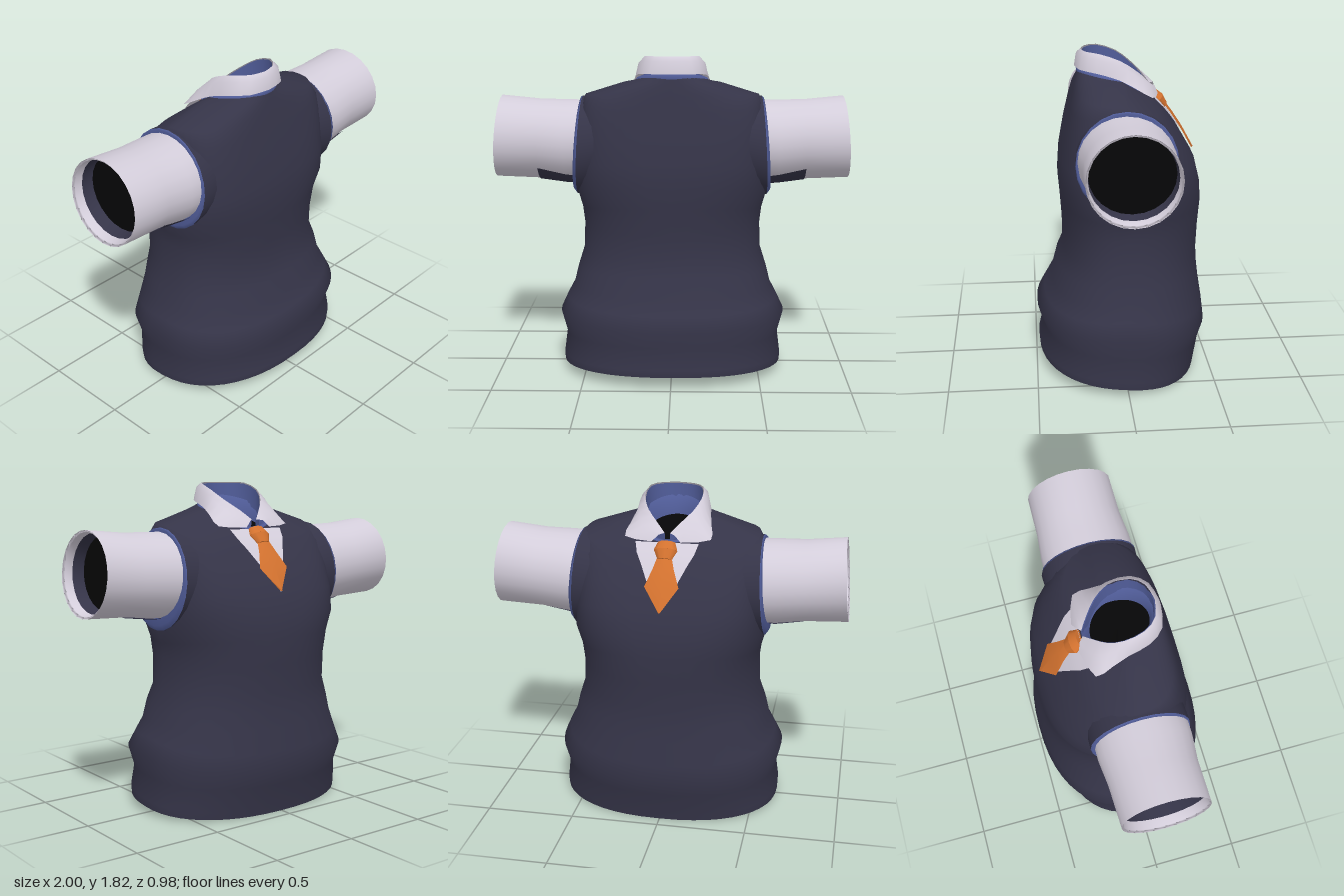
import * as THREE from 'three';

const mat = (name, color) => {
  const m = new THREE.MeshStandardMaterial({ color, side: THREE.DoubleSide });
  m.name = name;
  return m;
};

// Skin a list of equal-length rows of points
function skin(rows, closed) {
  const n = rows[0].length, pos = [], idx = [];
  rows.forEach(r => r.forEach(p => pos.push(p[0], p[1], p[2])));
  for (let i = 0; i < rows.length - 1; i++) {
    for (let j = 0; j < (closed ? n : n - 1); j++) {
      const k = (j + 1) % n, a = i * n + j, b = i * n + k;
      idx.push(a, a + n, b, b, a + n, b + n);
    }
  }
  const g = new THREE.BufferGeometry();
  g.setAttribute('position', new THREE.Float32BufferAttribute(pos, 3));
  g.setIndex(idx);
  g.computeVertexNormals();
  return g;
}

const spow = (v, e) => Math.sign(v) * Math.pow(Math.abs(v), e);

// Horizontal body ring: half width, side height, +z reach and height, -z reach and height, squareness
function bodyRing([w, ys, zb, yb, zf, yf, n = 2.3], seg = 48) {
  return Array.from({ length: seg }, (_, i) => {
    const a = i / seg * Math.PI * 2;
    const c = spow(Math.cos(a), 2 / n), s = spow(Math.sin(a), 2 / n);
    const t = Math.abs(s);
    return [w * c, ys + ((s > 0 ? yb : yf) - ys) * t, t * (s > 0 ? zb : zf)];
  });
}

// Upright sleeve ring: x at top and bottom, y at top and bottom, z reach both ways
function armRing(side, [xt, xb, yt, yb, zb, zf], a0 = 0, a1 = Math.PI * 2, seg = 24, grow = 0) {
  const closed = a1 - a0 > 6;
  return Array.from({ length: closed ? seg : seg + 1 }, (_, i) => {
    const a = a0 + (a1 - a0) * i / seg, u = (1 + Math.sin(a)) / 2;
    return [side * (xb + (xt - xb) * u),
      (yt + yb) / 2 + ((yt - yb) / 2 + grow) * Math.sin(a),
      (zb + zf) / 2 + ((zb - zf) / 2 + grow) * Math.cos(a)];
  });
}

// Flat fan closing a ring
function cap(ring) {
  const c = [0, 1, 2].map(k => ring.reduce((s, p) => s + p[k], 0) / ring.length);
  return skin([ring, ring.map(() => c)], true);
}

// Smooth half edge from the middle outwards, mirrored across x
function mirroredEdge(points) {
  const curve = new THREE.CatmullRomCurve3(points.map(p => new THREE.Vector3(...p)));
  const half = Array.from({ length: 13 }, (_, i) => curve.getPoint(i / 12).toArray());
  return [...half.slice(1).reverse().map(([x, y, z]) => [-x, y, z]), ...half];
}

export function createModel() {
  const group = new THREE.Group();
  const navy = mat('navyKnit', 0x353448);
  const white = mat('shirtWhite', 0xd3cdda);
  const blue = mat('blueTrim', 0x505c98);
  const orange = mat('tieOrange', 0xd3722f);
  const black = mat('darkInside', 0x060607);
  const add = (name, geo, m) => {
    const mesh = new THREE.Mesh(geo, m);
    mesh.name = name;
    group.add(mesh);
    return mesh;
  };

  // Knitted vest from hem to neckline
  const vest = [
    [.635, .045, .48, .08, -.43, .008],
    [.637, .09, .483, .12, -.437, .05],
    [.62, .22, .455, .24, -.462, .18],
    [.652, .35, .49, .34, -.49, .27],
    [.61, .44, .445, .42, -.478, .37],
    [.572, .51, .402, .5, -.457, .5],
    [.55, .6, .37, .62, -.445, .6],
    [.512, .72, .335, .7, -.44, .7],
    [.505, .88, .335, .85, -.445, .85, 2.4],
    [.515, .96, .345, 1.0, -.455, 1.0, 2.5],
    [.54, 1.05, .355, 1.12, -.44, 1.12, 2.9],
    [.53, 1.2, .345, 1.25, -.405, 1.25, 3.3],
    [.518, 1.4, .315, 1.4, -.33, 1.38, 3.6],
    [.512, 1.565, .285, 1.53, -.26, 1.48, 3.4],
    [.49, 1.607, .265, 1.62, -.22, 1.53, 2.7],
    [.27, 1.675, .245, 1.69, -.19, 1.56, 2.2],
    [.2, 1.685, .235, 1.725, -.17, 1.575, 2]
  ];
  add('vest', skin(vest.map(r => bodyRing(r)), true), navy);
  add('hemOpening', cap(bodyRing(vest[0])), black);

  // Neck trim and dark neck opening
  const neck = [
    [.212, 1.675, .24, 1.71, -.172, 1.565, 2],
    [.2, 1.695, .243, 1.738, -.165, 1.585, 2],
    [.165, 1.7, .205, 1.76, -.15, 1.59, 2],
    [.145, 1.6, .19, 1.65, -.125, 1.53, 2]
  ];
  add('neckTrim', skin(neck.map(r => bodyRing(r)), true), blue);
  add('neckOpening', cap(bodyRing(neck[3])), black);

  // Folded shirt collar
  const top = mirroredEdge([[0, 1.83, .215], [.09, 1.83, .192], [.15, 1.827, .12],
    [.16, 1.79, .01], [.125, 1.735, -.07], [.065, 1.68, -.13], [.015, 1.63, -.17]]);
  const bottom = mirroredEdge([[0, 1.738, .252], [.12, 1.736, .225], [.188, 1.728, .14],
    [.21, 1.695, .02], [.228, 1.65, -.07], [.238, 1.6, -.16], [.08, 1.59, -.208]]);
  const fold = top.map((p, i) => p.map((v, k) => {
    const mid = v * .6 + bottom[i][k] * .4;
    return k === 1 ? mid + .012 : mid * 1.05;
  }));
  add('collar', skin([top, fold, bottom], false), white);
  add('collarLining', skin([
    top.map(([x, y, z]) => [x * .97, y - .006, z * .97]),
    top.map(([x, y, z]) => [x * .95, y - .12, z * .95])
  ], false), blue);

  // Shirt front in the V neckline, and tie: rows of height, z, half width
  const strip = (rows, ridge) => skin(rows.map(([y, z, w]) =>
    [[-w, y, z], [0, y + ridge * .5, z - ridge], [w, y, z]]), false);
  add('shirtFront', strip([[1.58, -.182, .175], [1.53, -.23, .158], [1.48, -.268, .128],
    [1.38, -.338, .076], [1.25, -.411, .003]], 0), white);
  add('tieBlade', strip([[1.53, -.24, .035], [1.46, -.291, .058], [1.375, -.346, .094],
    [1.25, -.414, .003]], .01), orange);

  // Tie knot, upper and lower halves
  for (const [name, r0, r1, h, y, z] of [
    ['tieKnotUpper', .05, .068, .05, 1.56, -.2],
    ['tieKnotLower', .068, .04, .055, 1.522, -.235]]) {
    const knot = add(name, new THREE.CylinderGeometry(r0, r1, h, 10), orange);
    knot.geometry.scale(1, 1, .55);
    knot.position.set(0, y, z);
    knot.rotation.x = .75;
  }

  // Sleeves with armholes, underarm patch and dark opening
  const sleeve = [
    [.46, .46, 1.572, 1.1, .265, -.25],
    [.6, .6, 1.575, 1.105, .265, -.252],
    [.75, .75, 1.578, 1.125, .25, -.237],
    [.965, 1, 1.6, 1.135, .25, -.232],
    [.955, .988, 1.588, 1.147, .238, -.22],
    [.915, .94, 1.582, 1.155, .235, -.217]
  ];
  const lining = [sleeve[5], [.85, .87, 1.57, 1.165, .23, -.213]];
  const armhole = [
    [.36, .36, 1.58, 1.06, .265, -.265],
    [.43, .46, 1.592, 1.04, .272, -.27],
    [.508, .54, 1.596, 1.032, .276, -.272]
  ];
  const trim = [
    armhole[2],
    [.518, .56, 1.588, 1.06, .272, -.264],
    [.512, .555, 1.55, 1.13, .24, -.23]
  ];
  for (const side of [1, -1]) {
    const name = side > 0 ? 'left' : 'right';
    const tube = rows => skin(rows.map(r => armRing(side, r)), true);
    add(name + 'Sleeve', tube(sleeve), white);
    add(name + 'SleeveLining', tube(lining), navy);
    add(name + 'SleeveOpening', cap(armRing(side, lining[1])), black);
    add(name + 'Armhole', tube(armhole), navy);
    add(name + 'ArmholeTrim', tube(trim), blue);
    add(name + 'UnderarmPatch', skin(sleeve.slice(0, 3).map((r, i) =>
      armRing(side, r, -1.95 + i * .1, -.85 + i * .1, 10, .005)), false), navy);
  }
  return group;
}
